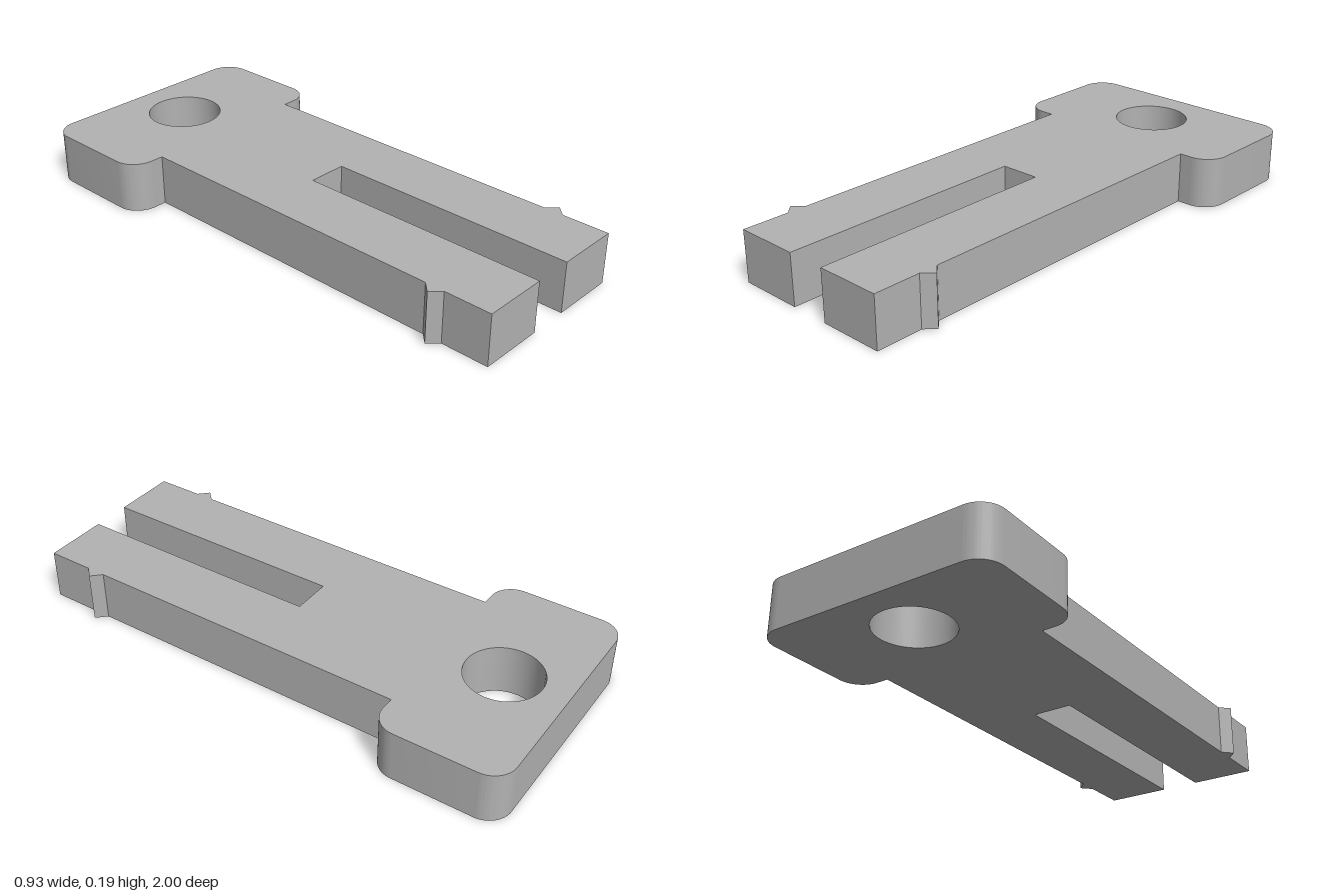
import * as THREE from 'three';
import { toCreasedNormals } from 'three/addons/utils/BufferGeometryUtils.js';

const HEIGHT = 0.195;

export function createModel() {
  const grey = new THREE.MeshStandardMaterial({ color: 0xb2b2b2 });
  grey.name = 'grey plastic';

  // Plan outline, drawn with shape y = -z
  const headX = 0.465, headFront = 0.515, headBack = 1, r = 0.09;
  const stemX = 0.326, slotX = 0.076, slotEnd = -0.025;
  const tip = -1, barbX = 0.363, barbY = -0.783, barbHalf = 0.037;

  const s = new THREE.Shape();
  // Right-hand prong with its barb
  s.moveTo(slotX, slotEnd);
  s.lineTo(slotX, tip);
  s.lineTo(stemX, tip);
  s.lineTo(stemX, barbY - barbHalf);
  s.lineTo(barbX, barbY);
  s.lineTo(stemX, barbY + barbHalf);
  // Head with rounded corners
  s.lineTo(stemX, headFront);
  s.lineTo(headX - r, headFront);
  s.absarc(headX - r, headFront + r, r, -Math.PI / 2, 0);
  s.absarc(headX - r, headBack - r, r, 0, Math.PI / 2);
  s.absarc(-headX + r, headBack - r, r, Math.PI / 2, Math.PI);
  s.absarc(-headX + r, headFront + r, r, Math.PI, Math.PI * 1.5);
  s.lineTo(-stemX, headFront);
  // Opposite prong with its barb
  s.lineTo(-stemX, barbY + barbHalf);
  s.lineTo(-barbX, barbY);
  s.lineTo(-stemX, barbY - barbHalf);
  s.lineTo(-stemX, tip);
  s.lineTo(-slotX, tip);
  s.lineTo(-slotX, slotEnd);
  s.closePath();

  // Round hole through the head
  const hole = new THREE.Path();
  hole.absarc(0, 0.76, 0.142, 0, Math.PI * 2, true);
  s.holes.push(hole);

  const extruded = new THREE.ExtrudeGeometry(s, { depth: HEIGHT, bevelEnabled: false, curveSegments: 24 });
  extruded.rotateX(-Math.PI / 2);

  const clip = new THREE.Mesh(toCreasedNormals(extruded, 0.6), grey);
  clip.name = 'slottedClip';

  const group = new THREE.Group();
  group.name = 'clip';
  group.add(clip);
  return group;
}
